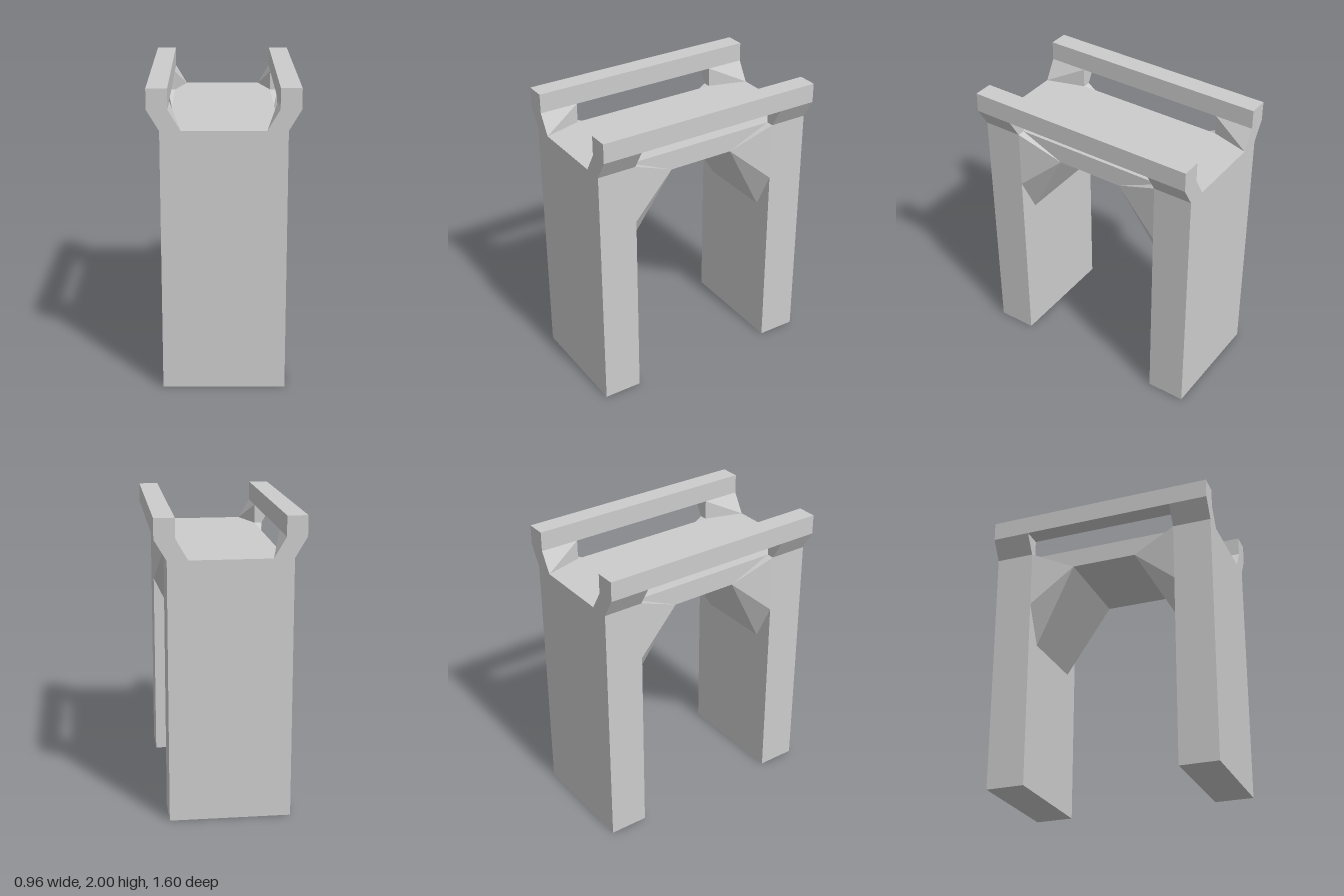
import * as THREE from 'three';
import { ConvexGeometry } from 'three/addons/geometries/ConvexGeometry.js';

export function createModel() {
  const model = new THREE.Group();
  model.name = 'archwayBridge';
  const stone = new THREE.MeshStandardMaterial({ color: 0xcccccc });
  stone.name = 'paleGreyStone';

  const add = (name, geometry, x = 0, y = 0, z = 0) => {
    const mesh = new THREE.Mesh(geometry, stone);
    mesh.name = name;
    mesh.position.set(x, y, z);
    model.add(mesh);
  };
  // faceted solid from corner points, mirrored by the given signs
  const solid = (points, sx, sz) =>
    new ConvexGeometry(points.map(([x, y, z]) => new THREE.Vector3(x * sx, y, z * sz)));

  // main levels
  const deckBottom = 1.6, deckTop = 1.733, railBottom = 1.867, top = 2;
  const inner = 0.533, outer = 0.8, half = 0.4;

  // deck between the legs
  add('deck', new THREE.BoxGeometry(0.694, deckTop - deckBottom, inner * 2), 0, (deckTop + deckBottom) / 2, 0);

  // bracket under the deck, narrowing as it leaves the leg
  const bracketSide = [
    [half, deckTop, inner], [half, deckBottom, inner], [half, 1.333, inner],
    [0.27, 1.067, inner], [0.308, 1.333, 0.49], [0.347, deckBottom, 0.23],
  ];
  const bracket = [...bracketSide, ...bracketSide.map(([x, y, z]) => [-x, y, z])];

  // corner post that flares outward up to the rail
  const post = [
    [0.267, deckTop, outer], [half, deckTop, outer], [half, deckTop, inner], [0.347, deckTop, inner],
    [0.347, railBottom, outer], [0.48, railBottom, outer], [0.48, railBottom, inner], [0.347, railBottom, inner],
  ];

  for (const sz of [1, -1]) {
    const end = sz > 0 ? 'front' : 'back';
    add(end + 'Leg', new THREE.BoxGeometry(half * 2, deckTop, outer - inner), 0, deckTop / 2, sz * (outer + inner) / 2);
    add(end + 'Bracket', solid(bracket, 1, sz));
    for (const sx of [1, -1]) {
      add(end + (sx > 0 ? 'Left' : 'Right') + 'Post', solid(post, sx, sz));
    }
  }

  // side rails
  for (const sx of [1, -1]) {
    add(sx > 0 ? 'leftRail' : 'rightRail',
      new THREE.BoxGeometry(0.133, top - railBottom, outer * 2), sx * 0.4135, (top + railBottom) / 2, 0);
  }
  return model;
}
